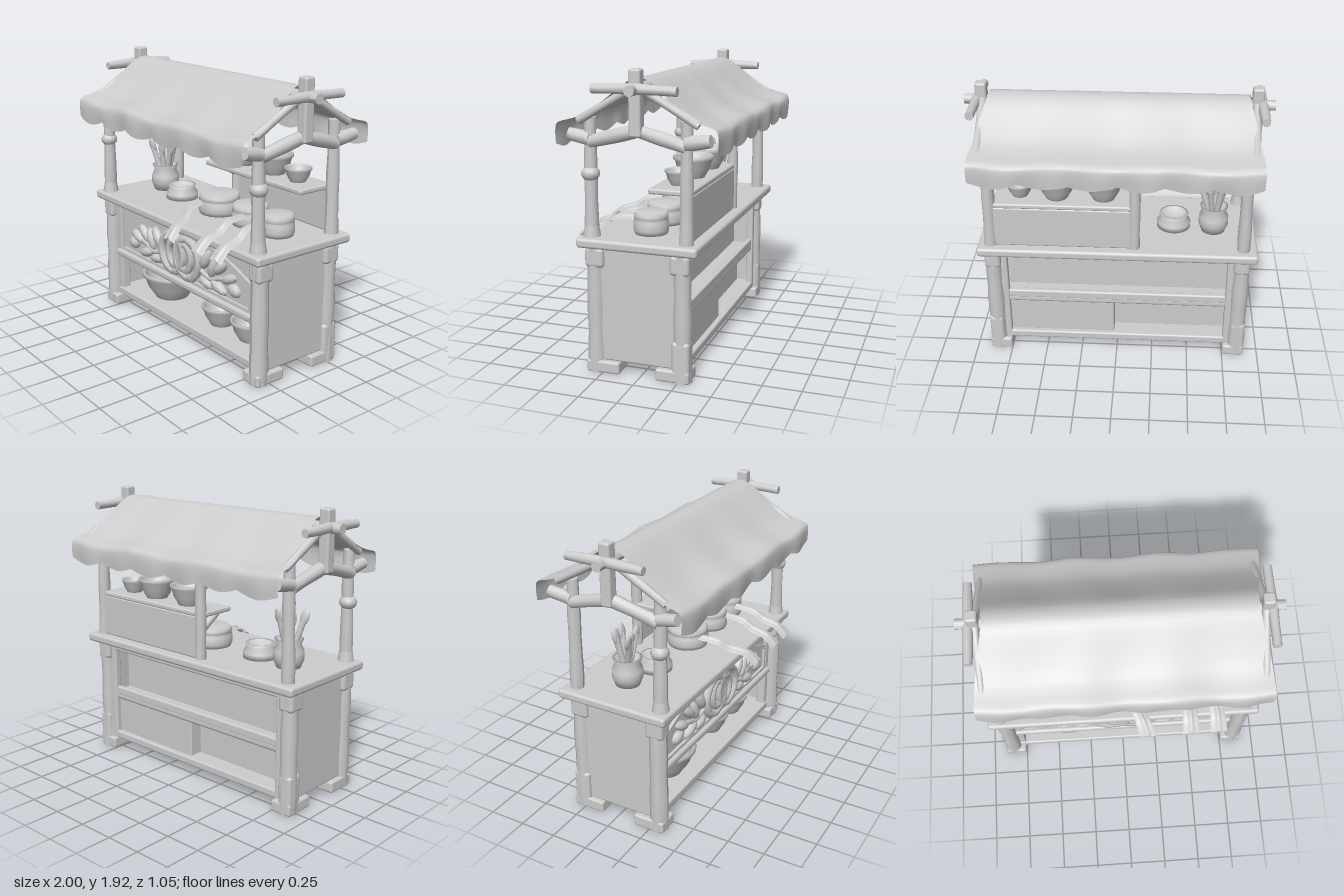
import * as THREE from 'three';
import { RoundedBoxGeometry } from 'three/addons/geometries/RoundedBoxGeometry.js';

const clay = new THREE.MeshStandardMaterial({ color: 0xcccccc, side: THREE.DoubleSide });
clay.name = 'plainGrey';

export function createModel() {
  const root = new THREE.Group();
  root.name = 'marketStall';

  const add = (name, geo, x = 0, y = 0, z = 0, parent = root) => {
    const m = new THREE.Mesh(geo, clay);
    m.name = name;
    m.position.set(x, y, z);
    parent.add(m);
    return m;
  };
  // Box given by its limits, with softened edges
  const block = (name, x0, x1, y0, y1, z0, z1, r = 0.012) => {
    const s = [x1 - x0, y1 - y0, z1 - z0];
    return add(name, new RoundedBoxGeometry(...s, 2, Math.min(r, ...s.map(v => v * 0.45))),
      (x0 + x1) / 2, (y0 + y1) / 2, (z0 + z1) / 2);
  };
  // The same on the left (s = 1) or right (s = -1), limits given for the left
  const sideBlock = (name, s, x0, x1, ...rest) =>
    s > 0 ? block(name, x0, x1, ...rest) : block(name, -x1, -x0, ...rest);
  // Slightly gnarled log between two points
  const log = (name, a, b, r0, r1 = r0) => {
    const A = new THREE.Vector3(...a), B = new THREE.Vector3(...b);
    const d = B.clone().sub(A), L = d.length();
    const g = new THREE.CylinderGeometry(r1, r0, L, 10, 6);
    const p = g.attributes.position;
    for (let i = 0; i < p.count; i++) {
      const k = 1 + 0.06 * Math.sin(p.getY(i) * 17 + a[0] * 5 + a[2] * 9);
      p.setX(i, p.getX(i) * k);
      p.setZ(i, p.getZ(i) * k);
    }
    g.computeVertexNormals();
    const m = add(name, g);
    m.position.copy(A).addScaledVector(d, 0.5);
    m.quaternion.setFromUnitVectors(new THREE.Vector3(0, 1, 0), d.normalize());
    return m;
  };
  const turned = (name, pts, x, y, z) =>
    add(name, new THREE.LatheGeometry(pts.map(p => new THREE.Vector2(...p)), 24), x, y, z);

  // Counter and cabinet
  block('counterTop', -0.94, 0.935, 0.82, 0.882, -0.385, 0.395, 0.02);
  block('baseBoard', -0.82, 0.82, 0.075, 0.13, -0.29, 0.31);
  block('middleShelf', -0.8, 0.8, 0.385, 0.44, -0.28, 0.32, 0.02);
  block('frontPanel', -0.8, 0.8, 0.43, 0.82, 0.23, 0.275);
  block('innerPanel', -0.8, 0.8, 0.43, 0.82, -0.13, -0.1);
  block('lowerPanel', -0.8, 0.03, 0.12, 0.4, -0.16, -0.13);
  block('lowerPanelStep', 0.02, 0.8, 0.12, 0.4, -0.255, -0.13);
  block('backRail', -0.8, 0.8, 0.42, 0.48, -0.28, -0.24);
  block('backTopRail', -0.8, 0.8, 0.76, 0.82, -0.29, -0.24);

  for (const s of [-1, 1]) {
    sideBlock('sidePanel', s, 0.8, 0.872, 0.08, 0.82, -0.27, 0.29);
    sideBlock('frontStile', s, 0.745, 0.82, 0.07, 0.82, 0.23, 0.3);
    sideBlock('backStile', s, 0.75, 0.82, 0.07, 0.82, -0.29, -0.24);
    for (const f of [-1, 1]) {
      // Leg, foot and corner block
      const z = f > 0 ? 0.3 : -0.27;
      const ends = d => [Math.min(z + f * 0.055, z - f * d), Math.max(z + f * 0.055, z - f * d)];
      log('leg', [s * 0.845, 0, z], [s * 0.845, 0.82, z], 0.06, 0.056);
      sideBlock('foot', s, 0.75, 0.9, 0, 0.08, ...ends(0.165), 0.015);
      sideBlock('cornerBlock', s, 0.79, 0.9, 0.69, 0.82, ...ends(0.07), 0.025);
      if (f < 0) sideBlock('legShoe', s, 0.8, 0.9, 0.05, 0.27, ...ends(0.06), 0.025);
      // Upper post with its bound knot
      const pz = f > 0 ? 0.32 : -0.295;
      log('post', [s * 0.845, 0.88, pz], [s * 0.835, 1.62, pz], 0.045, 0.037);
      if (f > 0) {
        add('postKnot', new THREE.SphereGeometry(0.058, 12, 8), s * 0.845, 1.275, pz).scale.y = 0.85;
        add('postCollar', new THREE.CylinderGeometry(0.045, 0.056, 0.07, 10), s * 0.845, 0.915, pz);
      }
      // Roof timbers of the gable
      log('tieBeam', [s * 0.85, 1.47, pz], [s * 0.87, 1.555, 0], 0.042);
      log('rafter', [s * 0.88, 1.82, 0], [s * 0.87, 1.6, f * 0.38], 0.026);
      log('eaveBracket', [s * 0.85, 1.49, pz], [s * 0.86, 1.515, f * 0.45], 0.045, 0.038);
      log('crossBar', [s * 0.92, 1.805, 0], [s * 0.92, 1.798, f * 0.265], 0.034, 0.028);
    }
    sideBlock('kingPost', s, 0.85, 0.925, 1.52, 1.92, -0.038, 0.038, 0.015);
  }
  log('ridgeBeam', [-1, 1.8, 0], [1, 1.8, 0], 0.034);

  // Draped cloth roof with a scalloped hem
  const half = [[0, 1.86], [0.07, 1.84], [0.2, 1.735], [0.33, 1.64], [0.42, 1.605], [0.5, 1.58], [0.515, 1.53], [0.512, 1.425]];
  const path = new THREE.CatmullRomCurve3([
    ...half.slice(1).reverse().map(([z, y]) => new THREE.Vector3(0, y, -z)),
    ...half.map(([z, y]) => new THREE.Vector3(0, y, z))]);
  const roof = new THREE.PlaneGeometry(2, 1, 72, 40);
  const rp = roof.attributes.position;
  for (let i = 0; i < rp.count; i++) {
    const u = rp.getX(i), c = path.getPoint(0.5 - rp.getY(i));
    const down = THREE.MathUtils.clamp((1.86 - c.y) / 0.27, 0, 1);
    const hem = THREE.MathUtils.clamp((1.58 - c.y) / 0.15, 0, 1);
    const wave = Math.abs(Math.sin(u * Math.PI * 3));
    rp.setXYZ(i, u * (0.835 + 0.085 * down),
      c.y + hem * 0.035 * (1 - wave) - 0.008 * down * (1 - hem) * Math.cos(u * 9.4),
      c.z + Math.sign(c.z) * 0.006 * (hem * Math.sin(u * 19) - down * Math.cos(u * 12)));
  }
  roof.computeVertexNormals();
  add('clothRoof', roof);

  // Carved front: arched frame, medallion, leaves
  const arch = (w, y0, y1, y2) => {
    const s = new THREE.Shape();
    s.moveTo(-w, y0);
    s.lineTo(w, y0);
    s.lineTo(w, y1);
    s.quadraticCurveTo(w * 0.5, y2, 0, y2);
    s.quadraticCurveTo(-w * 0.5, y2, -w, y1);
    return s;
  };
  const frame = arch(0.76, 0.44, 0.63, 0.805);
  frame.holes.push(arch(0.73, 0.46, 0.61, 0.775));
  add('archFrame', new THREE.ExtrudeGeometry(frame, { depth: 0.025, bevelEnabled: false, curveSegments: 16 }), 0, 0, 0.27);
  const carving = new THREE.Group();
  carving.name = 'floralCarving';
  carving.position.set(0, 0.61, 0.285);
  root.add(carving);
  const leaf = (x, y, len, wid, rot) => {
    const m = add('leaf', new THREE.SphereGeometry(1, 8, 6), x, y, 0, carving);
    m.scale.set(len, wid, 0.035);
    m.rotation.z = rot;
  };
  for (const s of [-1, 1]) {
    add('medallionRing', new THREE.TorusGeometry(0.13, 0.03, 6, 12), s * 0.085, 0, 0.01, carving).scale.y = 1.06;
    add('innerPetal', new THREE.TorusGeometry(0.075, 0.026, 6, 10), s * 0.055, 0, 0.01, carving).scale.y = 1.25;
    const stem = new THREE.CatmullRomCurve3([[0.2, -0.03], [0.33, -0.07], [0.46, -0.03], [0.6, -0.06]]
      .map(([x, y]) => new THREE.Vector3(s * x, y, 0)));
    add('stem', new THREE.TubeGeometry(stem, 14, 0.017, 6), 0, 0, 0, carving);
    for (const [x, y, l, w, r] of [[0.28, 0.05, 0.09, 0.04, 1.0], [0.36, 0.02, 0.09, 0.035, 1.2], [0.44, 0.04, 0.09, 0.035, 0.7],
      [0.29, -0.11, 0.08, 0.035, -0.2], [0.42, -0.1, 0.09, 0.035, -0.3], [0.53, -0.01, 0.08, 0.035, 0.4], [0.58, -0.07, 0.065, 0.045, -0.2]])
      leaf(s * x, y, l, w, s * r);
  }
  leaf(0, 0, 0.11, 0.03, Math.PI / 2);

  // Raised shelf at the back
  log('shelfPost', [-0.12, 0.88, -0.3], [-0.12, 1.6, -0.3], 0.037);
  block('displayShelf', -0.155, 0.82, 1.165, 1.2, -0.32, -0.04);
  block('shelfBackPanel', -0.12, 0.84, 0.88, 1.17, -0.32, -0.29);
  log('shelfBrace', [-0.12, 1.09, -0.28], [-0.12, 1.17, -0.15], 0.028);

  // Bowls, scaled from one hollow profile
  const bowl = (x, y, z, r, h) => turned('bowl',
    [[0, 0], [0.55, 0], [0.6, 0.1], [0.82, 0.45], [0.92, 0.8], [1, 0.84], [1, 0.97], [0.95, 1], [0.86, 0.9], [0.7, 0.4], [0.4, 0.15], [0, 0.12]]
      .map(([a, b]) => [a * r, b * h]), x, y, z);
  bowl(0.09, 1.195, -0.19, 0.13, 0.145);
  bowl(0.4, 1.195, -0.19, 0.13, 0.145);
  bowl(0.645, 1.195, -0.18, 0.09, 0.1);
  bowl(-0.41, 0.125, 0.08, 0.22, 0.205);
  bowl(0.215, 0.125, 0.1, 0.14, 0.15);
  bowl(0.53, 0.125, 0.1, 0.14, 0.15);
  turned('mouldedDish', [[0, 0], [0.115, 0], [0.115, 0.04], [0.09, 0.08], [0.1, 0.1], [0.08, 0.1], [0.06, 0.07], [0, 0.065]], -0.38, 0.88, 0);

  // Covered pots, each with a cloth draped over the counter edge: x, radius, cloth start x, cloth end x
  for (const [x, r, c0, c1] of [[0.06, 0.15, 0.02, 0.16], [0.39, 0.13, 0.44, 0.46], [0.66, 0.115, 0.62, 0.65]]) {
    turned('coveredPot', [[0, 0], [0.9, 0], [0.97, 0.03], [0.96, 0.08], [0.86, 0.095], [0.94, 0.1], [0.93, 0.125], [0.84, 0.143], [0, 0.148]]
      .map(([a, b]) => [a * r, b]), x, 0.88, 0);
    const drape = new THREE.CatmullRomCurve3([[0, 0.98, 0.1], [0.2, 0.965, 0.25], [0.5, 0.92, 0.32], [0.8, 0.89, 0.42], [1, 0.82, 0.5]]
      .map(([t, y, z]) => new THREE.Vector3(c0 + (c1 - c0) * t, y, z)));
    const cloth = new THREE.PlaneGeometry(1, 1, 8, 16), p = cloth.attributes.position;
    for (let k = 0; k < p.count; k++) {
      const u = p.getX(k), t = 0.5 - p.getY(k), c = drape.getPoint(t);
      p.setXYZ(k, c.x + u * (0.07 + 0.05 * t), c.y + 0.008 * Math.cos(u * 14) - 0.1 * u * u, c.z);
    }
    cloth.computeVertexNormals();
    add('drapedCloth', cloth);
  }

  // Jar of wooden utensils
  turned('utensilJar', [[0, 0], [0.08, 0], [0.102, 0.06], [0.1, 0.11], [0.08, 0.155], [0.095, 0.19], [0.08, 0.19], [0.06, 0.15], [0, 0.14]], -0.65, 0.88, -0.04);
  for (const [dx, y, dz] of [[-0.075, 1.21, 0.06], [-0.045, 1.22, -0.05], [0.0, 1.19, 0.03], [0.035, 1.22, -0.06], [0.09, 1.2, 0.01]]) {
    const tip = [-0.65 + dx, y, -0.04 + dz];
    const spoon = log('utensil', [-0.65 + dx * 0.3, 1.0, -0.04 + dz * 0.3], tip, 0.017, 0.022);
    const head = add('utensilHead', new THREE.SphereGeometry(1, 10, 8), ...tip);
    head.scale.set(0.034, 0.058, 0.018);
    head.quaternion.copy(spoon.quaternion);
  }

  return root;
}
